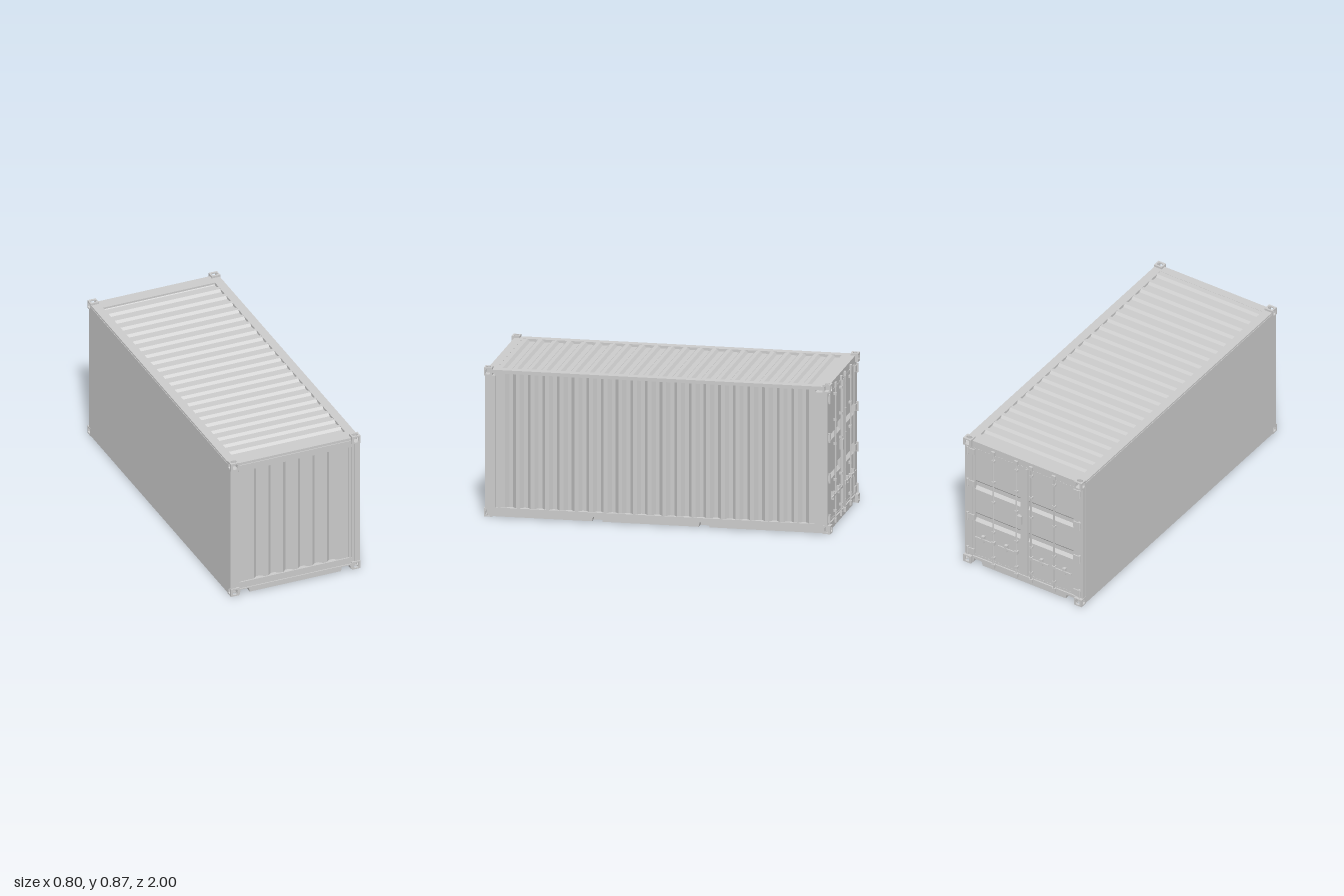
import * as THREE from 'three';

const mat = new THREE.MeshStandardMaterial({ color: 0xcccccc, flatShading: true });
const smooth = new THREE.MeshStandardMaterial({ color: 0xcccccc });

export function createModel() {
  const root = new THREE.Group();

  const add = (name, geo, parent = root, m = mat) => {
    const mesh = new THREE.Mesh(geo, m);
    mesh.name = name;
    parent.add(mesh);
    return mesh;
  };
  const group = (name) => {
    const g = new THREE.Group();
    g.name = name;
    root.add(g);
    return g;
  };
  // box given by its extents
  const box = (name, x0, x1, y0, y1, z0, z1, parent) => {
    const g = new THREE.BoxGeometry(Math.abs(x1 - x0), y1 - y0, z1 - z0);
    g.translate((x0 + x1) / 2, (y0 + y1) / 2, (z0 + z1) / 2);
    return add(name, g, parent);
  };
  // trapezoid sheet: runs along x, grooves sink in -y, extruded along z
  const corrugated = ({ start, end, first, pitch, count, slope, valley, depth, length }) => {
    const s = new THREE.Shape();
    s.moveTo(start, -depth - 0.008);
    s.lineTo(end, -depth - 0.008);
    s.lineTo(end, 0);
    for (let i = count - 1; i >= 0; i--) {
      const u = first + i * pitch;
      s.lineTo(u + 2 * slope + valley, 0);
      s.lineTo(u + slope + valley, -depth);
      s.lineTo(u + slope, -depth);
      s.lineTo(u, 0);
    }
    s.lineTo(start, 0);
    const g = new THREE.ExtrudeGeometry(s, { depth: length, bevelEnabled: false });
    return g.translate(0, 0, -length / 2);
  };
  // sill with forklift notches cut into its lower edge
  const sill = (half, y0, y1, depth, notches) => {
    const s = new THREE.Shape();
    s.moveTo(-half, y0);
    for (const c of notches) {
      s.lineTo(c - 0.031, y0);
      s.lineTo(c - 0.025, 0.03);
      s.lineTo(c + 0.025, 0.03);
      s.lineTo(c + 0.031, y0);
    }
    s.lineTo(half, y0);
    s.lineTo(half, y1);
    s.lineTo(-half, y1);
    const g = new THREE.ExtrudeGeometry(s, { depth, bevelEnabled: false });
    return g.translate(0, 0, -depth / 2);
  };
  // casting face, with an oblong hole when hw > 0
  const plate = (w, h, hw, hh) => {
    const s = new THREE.Shape();
    s.moveTo(-w / 2, -h / 2);
    s.lineTo(w / 2, -h / 2);
    s.lineTo(w / 2, h / 2);
    s.lineTo(-w / 2, h / 2);
    if (hw) {
      const r = Math.min(hw, hh) / 2, dx = hw / 2 - r, dy = hh / 2 - r;
      const pts = [];
      for (let i = 0; i < 20; i++) {
        const a = ((i + 0.5) / 20) * Math.PI * 2;
        pts.push(new THREE.Vector2(Math.cos(a) * r + Math.sign(Math.cos(a)) * dx,
          Math.sin(a) * r + Math.sign(Math.sin(a)) * dy));
      }
      s.holes.push(new THREE.Path(pts));
    }
    const g = new THREE.ExtrudeGeometry(s, { depth: 0.008, bevelEnabled: false, curveSegments: 8 });
    return g.translate(0, 0, -0.004);
  };

  // corner castings: hollow blocks with slots on the outer faces
  const W = 0.052, H = 0.048, D = 0.046;
  for (const sx of [-1, 1]) for (const top of [0, 1]) for (const sz of [-1, 1]) {
    const g = group('cornerCasting');
    g.position.set(sx * (0.4 - W / 2), top ? 0.867 - H / 2 : H / 2, sz * (1 - D / 2));
    const sy = top ? 1 : -1;
    for (const side of [1, -1]) {
      const open = side > 0 ? 1 : 0;
      add('endFace', plate(W, H, open * 0.028, 0.04), g).position.z = side * sz * (D / 2 - 0.004);
      add('sideFace', plate(D, H, open * 0.025, 0.038).rotateY(Math.PI / 2), g).position.x = side * sx * (W / 2 - 0.004);
      add('capFace', plate(W, D, open * 0.036, 0.025).rotateX(Math.PI / 2), g).position.y = side * sy * (H / 2 - 0.004);
    }
  }

  // corner posts
  for (const s of [-1, 1]) {
    box('frontPost', s * 0.348, s * 0.398, 0.046, 0.822, 0.935, 0.988);
    box('frontPostFlange', s * 0.365, s * 0.399, 0.046, 0.822, 0.95, 0.994);
    box('rearPost', s * 0.348, s * 0.398, 0.046, 0.822, -0.982, -0.907);
    box('topRail', s * 0.345, s * 0.397, 0.835, 0.855, -0.957, 0.957);
  }

  // front end frame and corrugated panel
  box('frontHeader', -0.35, 0.35, 0.835, 0.855, 0.935, 0.985);
  box('frontHeaderFace', -0.35, 0.35, 0.8, 0.84, 0.95, 0.99);
  box('frontLowerFrame', -0.35, 0.35, 0.035, 0.075, 0.95, 0.988);
  for (const s of [-1, 1]) box('frontPanelTrim', s * 0.335, s * 0.35, 0.07, 0.805, 0.95, 0.986);
  add('frontSill', sill(0.35, 0.004, 0.036, 0.05, [-0.312, 0.312])).position.z = 0.969;
  add('frontPanel', corrugated({ start: -0.345, end: 0.345, first: -0.249, pitch: 0.09, count: 6,
    slope: 0.021, valley: 0.024, depth: 0.018, length: 0.74 }).rotateX(Math.PI / 2))
    .position.set(0, 0.4375, 0.98);

  // corrugated side wall with its notched bottom rail
  add('corrugatedSideWall', corrugated({ start: -0.94, end: 0.91, first: -0.88, pitch: 0.0845, count: 21,
    slope: 0.02, valley: 0.022, depth: 0.022, length: 0.79 }).rotateX(Math.PI / 2).rotateY(Math.PI / 2))
    .position.set(0.39, 0.444, 0);
  add('sideSill', sill(0.956, 0.004, 0.055, 0.045, [-0.346, 0.27]).rotateY(Math.PI / 2)).position.x = 0.3755;

  // plain side wall
  box('plainSideWall', -0.4, -0.385, 0.004, 0.845, -0.955, 0.965);

  // floor and roof
  box('floor', -0.386, 0.354, 0.004, 0.05, -0.945, 0.945);
  add('roof', corrugated({ start: -0.94, end: 0.92, first: -0.905, pitch: 0.0838, count: 22,
    slope: 0.014, valley: 0.032, depth: 0.014, length: 0.692 }).rotateY(Math.PI / 2)).position.y = 0.854;

  // rear frame
  box('rearHeader', -0.35, 0.35, 0.815, 0.855, -0.982, -0.905);
  add('rearSill', sill(0.35, 0.004, 0.046, 0.038, [-0.312, 0.312])).position.z = -0.963;

  // doors with two horizontal grooves each
  const doors = group('rearDoors');
  for (const s of [-1, 1]) {
    add('doorPanel', corrugated({ start: 0.048, end: 0.814, first: 0.292, pitch: 0.225, count: 2,
      slope: 0.018, valley: 0.028, depth: 0.016, length: 0.335 }).rotateZ(Math.PI / 2).rotateY(-Math.PI / 2), doors)
      .position.set(s * 0.178, 0, -0.976);
    box('doorInnerEdge', s * 0.008, s * 0.024, 0.05, 0.812, -0.982, -0.95, doors);
    box('doorOuterEdge', s * 0.334, s * 0.349, 0.05, 0.812, -0.98, -0.95, doors);

    // hinges
    for (const y of [0.08, 0.32, 0.555, 0.78]) {
      box('hingeLeaf', s * 0.335, s * 0.385, y - 0.018, y + 0.018, -0.988, -0.97, doors);
      const pin = add('hingePin', new THREE.CylinderGeometry(0.007, 0.007, 0.055, 10), doors, smooth);
      pin.position.set(s * 0.378, y, -0.988);
    }

    // locking rods, their brackets and handles
    for (const x of [0.05, 0.205]) {
      const rod = add('lockingRod', new THREE.CylinderGeometry(0.005, 0.005, 0.8, 10), doors, smooth);
      rod.position.set(s * x, 0.431, -0.987);
      for (const y of [0.035, 0.825]) box('camKeeper', s * (x - 0.011), s * (x + 0.011), y - 0.013, y + 0.013, -0.994, -0.975, doors);
      for (const y of [0.09, 0.27, 0.48, 0.62, 0.77]) box('rodGuide', s * (x - 0.009), s * (x + 0.009), y - 0.007, y + 0.007, -0.993, -0.975, doors);
      box('handleBar', s * x, s * (x + 0.12), 0.189, 0.199, -0.996, -0.989, doors);
      box('handleHub', s * (x - 0.01), s * (x + 0.01), 0.183, 0.205, -0.996, -0.976, doors);
      box('handleCatch', s * (x + 0.06), s * (x + 0.078), 0.172, 0.216, -0.994, -0.975, doors);
    }
    // bolt rows along the seals
    for (const y of [0.06, 0.803]) for (let i = 0; i < 14; i++) {
      const x = 0.035 + i * 0.0225;
      box('sealBolt', s * x, s * (x + 0.009), y - 0.002, y + 0.002, -0.979, -0.97, doors);
    }
  }
  box('centreSeal', -0.01, 0.01, 0.05, 0.812, -0.979, -0.95, doors);
  box('overlapStrip', -0.026, -0.012, 0.06, 0.805, -0.988, -0.97, doors);
  box('lockBox', 0.012, 0.04, 0.405, 0.462, -0.996, -0.97, doors);

  return root;
}
